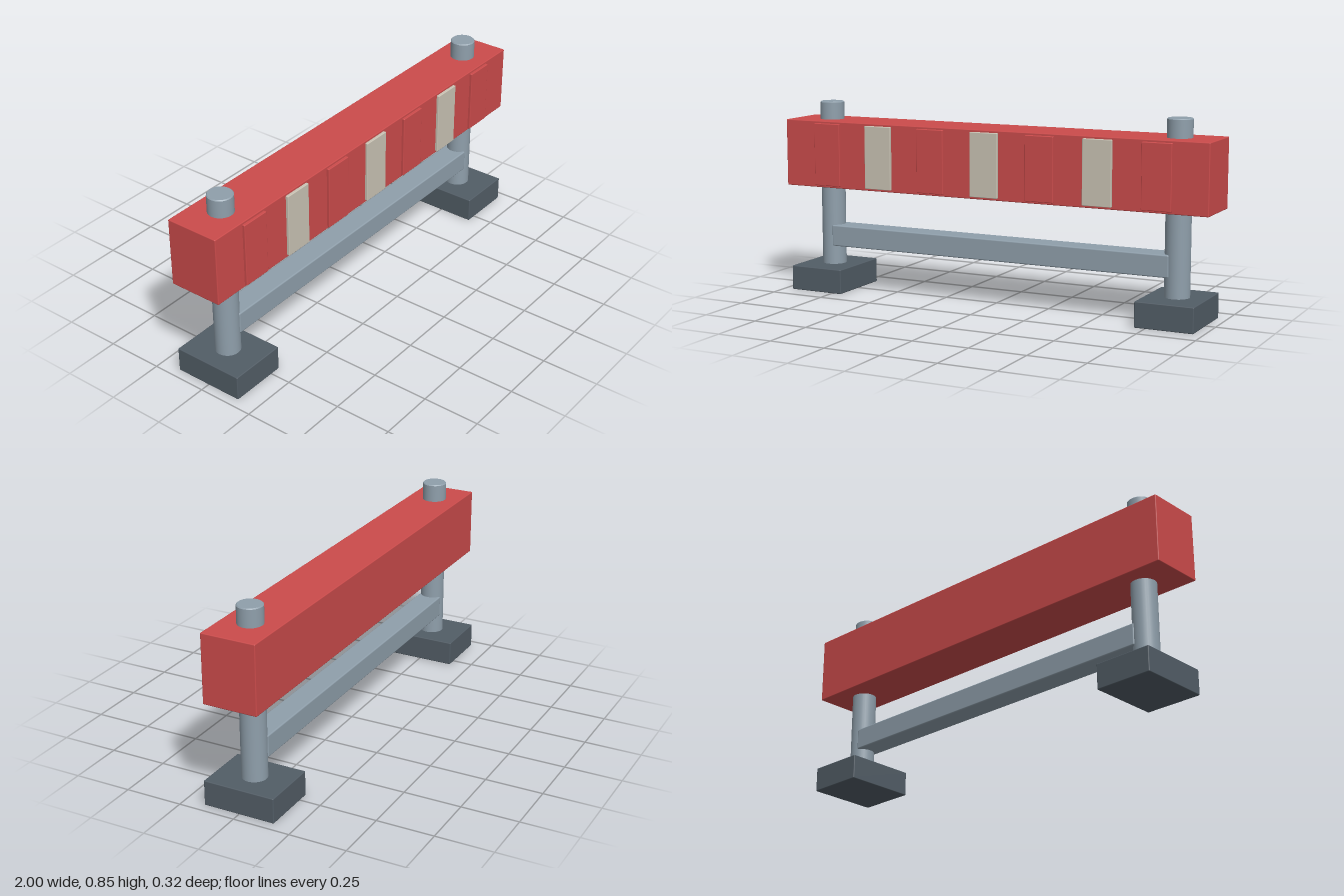
import * as THREE from 'three';
import { RoundedBoxGeometry } from 'three/addons/geometries/RoundedBoxGeometry.js';

function material(name, color) {
  const m = new THREE.MeshStandardMaterial({ color });
  m.name = name;
  return m;
}

export function createModel() {
  const red = material('red', 0xcb4b4b);
  const cream = material('cream', 0xc9c3b4);
  const steel = material('steel grey', 0x8f9fab);
  const dark = material('dark grey', 0x525d66);

  const model = new THREE.Group();
  model.name = 'barrier';

  function add(name, geometry, mat, x, y, z) {
    const mesh = new THREE.Mesh(geometry, mat);
    mesh.name = name;
    mesh.position.set(x, y, z);
    model.add(mesh);
  }
  const box = (w, h, d, r = 0.004) => new RoundedBoxGeometry(w, h, d, 2, r);

  // Round post with a slightly bevelled top; doubled points keep the edges sharp
  const r = 0.054, bevel = 0.004, top = 0.852, bottom = 0.1;
  const profile = [
    [0, bottom], [r, bottom], [r, bottom], [r, top - bevel], [r, top - bevel],
    [r - bevel, top], [r - bevel, top], [0, top],
  ].map(([x, y]) => new THREE.Vector2(x, y));
  const postGeometry = new THREE.LatheGeometry(profile, 32);

  // Feet and posts
  for (const [side, label] of [[1, 'left'], [-1, 'right']]) {
    add(label + 'Foot', box(0.256, 0.11, 0.318), dark, side * 0.831, 0.055, 0);
    add(label + 'Post', postGeometry, steel, side * 0.831, 0, 0);
  }

  // Lower crossbar and main beam
  add('crossbar', box(1.62, 0.096, 0.106, 0.006), steel, 0, 0.243, 0);
  add('beam', box(2, 0.299, 0.24), red, 0, 0.6225, 0);

  // Alternating raised panels on the front of the beam
  const panel = box(0.13, 0.279, 0.018, 0.003);
  for (let i = -3; i <= 3; i++) {
    add('panel' + (i + 4), panel, i % 2 === 0 ? cream : red, i * 0.26, 0.6225, 0.123);
  }
  return model;
}
